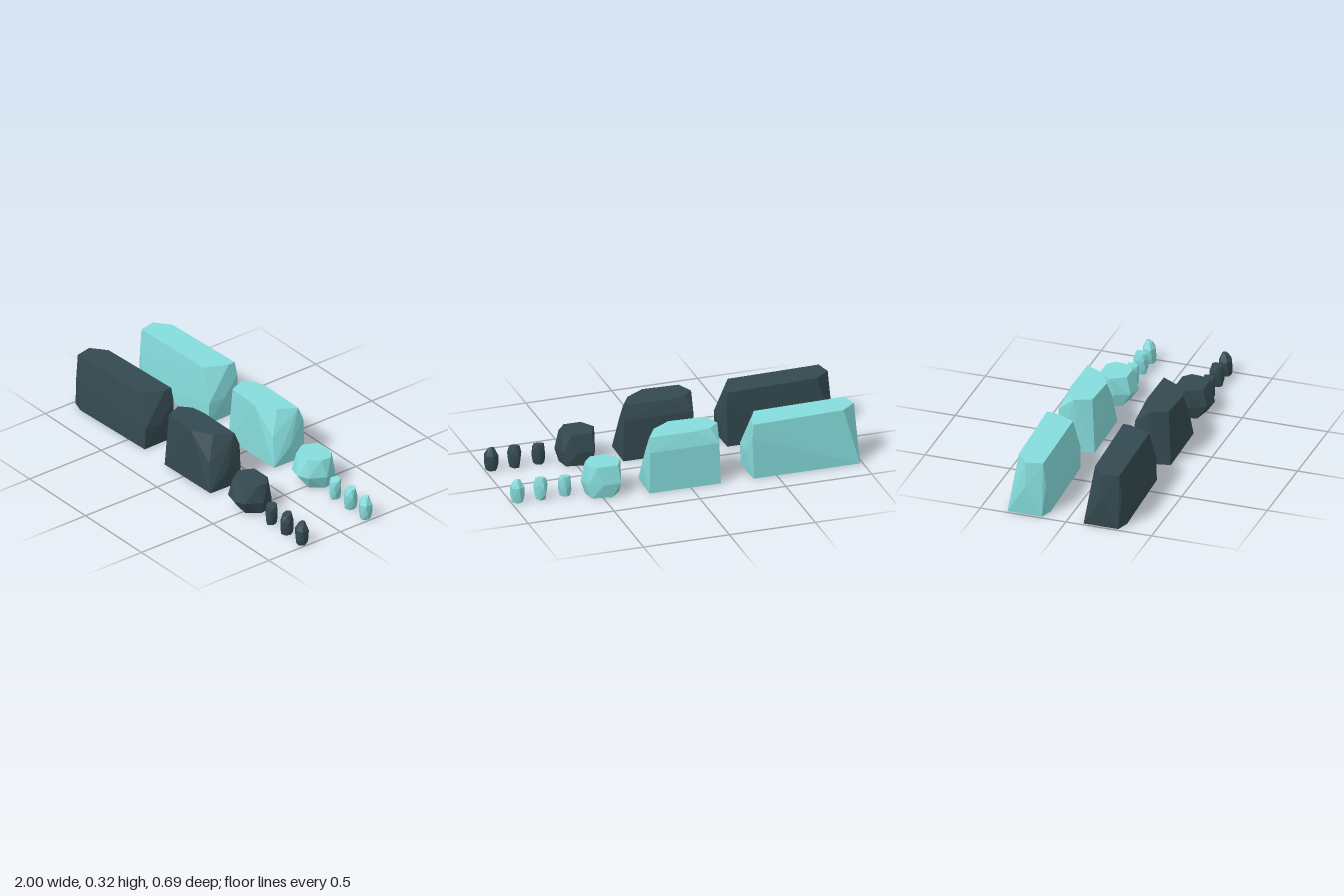
import * as THREE from 'three';
import { ConvexGeometry } from 'three/addons/geometries/ConvexGeometry.js';

const ROW_SPACING = 0.445;

// Large and medium rocks: height of a ring, then its [x, z] corners
const ROCKS = {
  longBoulder: [
    [0.32, [[-0.985, 0.205], [-0.9, 0.135], [-0.37, 0.112], [-0.37, 0.155], [-0.43, 0.285], [-0.965, 0.3]]],
    [0.24, [[-0.36, 0.103]]],
    [0.18, [[-1, 0.21], [-0.96, 0.315]]],
    [0.13, [[-0.35, 0.2], [-0.355, 0.302]]],
    [0, [[-0.985, 0.098], [-0.365, 0.098], [-0.36, 0.305], [-0.91, 0.325], [-0.985, 0.3]]],
  ],
  squareBoulder: [
    [0.32, [[-0.19, 0.205], [-0.13, 0.15], [-0.04, 0.135], [0.23, 0.138], [0.17, 0.24], [0.06, 0.31], [-0.15, 0.3]]],
    [0.24, [[0.235, 0.107], [-0.17, 0.11]]],
    [0.17, [[0.2, 0.292]]],
    [0.11, [[0.245, 0.2]]],
    [0, [[-0.175, 0.1], [0.24, 0.1], [0.235, 0.31], [-0.165, 0.318], [-0.185, 0.22]]],
  ],
  roundRock: [
    [0.18, [[0.37, 0.22], [0.41, 0.14], [0.53, 0.14], [0.575, 0.18], [0.57, 0.24], [0.52, 0.3], [0.42, 0.3]]],
    [0.08, [[0.4, 0.115], [0.5, 0.115], [0.575, 0.15], [0.6, 0.225], [0.55, 0.315], [0.49, 0.345], [0.41, 0.325], [0.375, 0.24]]],
    [0, [[0.39, 0.18], [0.45, 0.12], [0.56, 0.14], [0.575, 0.22], [0.52, 0.29], [0.41, 0.27]]],
  ],
};

// Small upright stones: centre x, centre z, width, shoulder height, peak height, peak size, turn
const STONES = [
  [0.688, 0.238, 0.072, 0.085, 0.12, 0.85, 0.3],
  [0.828, 0.238, 0.075, 0.085, 0.13, 0.72, 0.9],
  [0.962, 0.24, 0.076, 0.09, 0.138, 0.42, 0.1],
];

function rockPoints(rings) {
  return rings.flatMap(([y, corners]) => corners.map(([x, z]) => new THREE.Vector3(x, y, z)));
}

function stonePoints([cx, cz, width, shoulder, peak, peakSize, turn]) {
  const points = [];
  const rings = [[0, 0.82], [shoulder * 0.45, 0.97], [shoulder, 1], [peak, peakSize]];
  rings.forEach(([y, scale], level) => {
    for (let i = 0; i < 6; i++) {
      const a = turn + (i / 6) * Math.PI * 2 + level * 0.22;
      const r = (width / 2) * scale * (1 + 0.08 * Math.sin(i * 2.3 + level));
      // The crown tilts down toward the front
      const drop = level === 3 ? 0.012 * (1 + Math.sin(a)) * 0.5 : 0;
      points.push(new THREE.Vector3(cx + r * Math.cos(a), y - drop, cz + r * 1.08 * Math.sin(a)));
    }
  });
  return points;
}

export function createModel() {
  const model = new THREE.Group();
  model.name = 'rockSet';

  // The same set of rocks in two colours, one row behind the other
  const rows = [
    ['darkRow', 0x344a50, 0],
    ['lightRow', 0x86dcdc, -ROW_SPACING],
  ];
  for (const [rowName, color, z] of rows) {
    const row = new THREE.Group();
    row.name = rowName;
    row.position.z = z;
    const material = new THREE.MeshStandardMaterial({ color, flatShading: true });
    const addRock = (name, points) => {
      const mesh = new THREE.Mesh(new ConvexGeometry(points), material);
      mesh.name = name;
      row.add(mesh);
    };
    for (const [name, rings] of Object.entries(ROCKS)) addRock(name, rockPoints(rings));
    STONES.forEach((stone, i) => addRock(`smallStone${i + 1}`, stonePoints(stone)));
    model.add(row);
  }
  return model;
}
